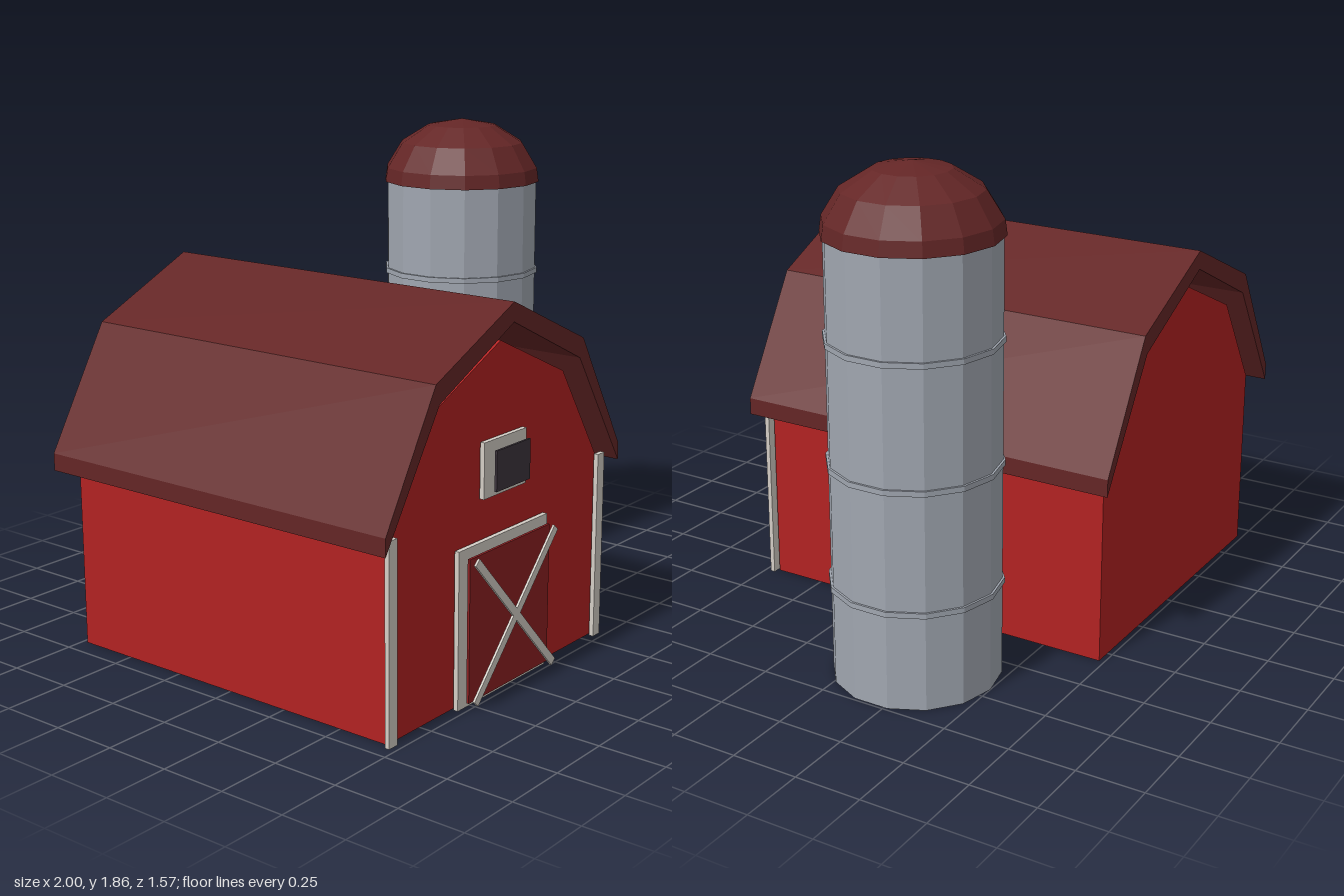
import * as THREE from 'three';

const mat = (name, color) => {
  const m = new THREE.MeshStandardMaterial({ color, flatShading: true });
  m.name = name;
  return m;
};

export function createModel() {
  const model = new THREE.Group();
  model.name = 'barnWithSilo';
  const red = mat('barnRed', 0xb22222);
  const doorRed = mat('doorRed', 0x8b2022);
  const roofRed = mat('roofMaroon', 0x642626);
  const white = mat('trimWhite', 0xd4cec6);
  const dark = mat('windowDark', 0x3d353d);
  const grey = mat('siloGrey', 0xa0a6b0);

  const add = (parent, name, geometry, material, x = 0, y = 0, z = 0) => {
    const mesh = new THREE.Mesh(geometry, material);
    mesh.name = name;
    mesh.position.set(x, y, z);
    parent.add(mesh);
    return mesh;
  };
  const box = (w, h, d) => new THREE.BoxGeometry(w, h, d);
  const extrude = (points, depth) => new THREE.ExtrudeGeometry(
    new THREE.Shape(points.map(([x, y]) => new THREE.Vector2(x, y))),
    { depth, bevelEnabled: false });
  // Right half of a profile, from the eave to the ridge, mirrored to the left
  const mirrored = half => [...half, ...half.slice(0, -1).reverse().map(([x, y]) => [-x, y])];

  // Barn, with its ridge on the group's own x = 0
  const barn = new THREE.Group();
  barn.name = 'barn';
  barn.position.x = -0.305;
  model.add(barn);

  add(barn, 'barnWalls', extrude(mirrored([[0.62, 0], [0.62, 0.71], [0.39, 1.07], [0, 1.25]]), 1.43),
    red, 0, 0, -0.73);

  const outer = mirrored([[0.695, 0.745], [0.435, 1.19], [0, 1.39]]);
  const inner = mirrored([[0.695, 0.68], [0.415, 1.12], [0, 1.32]]).reverse();
  add(barn, 'gambrelRoof', extrude([...outer, ...inner], 1.537), roofRed, 0, 0, -0.783);

  // Corner trim at the front
  for (const side of [-1, 1]) {
    add(barn, 'cornerTrim', box(0.043, 0.715, 0.018), white, side * 0.621, 0.3575, 0.718);
  }

  // Door: backing trim, panel and crossed braces
  add(barn, 'doorTrim', box(0.53, 0.575, 0.018), white, 0, 0.2875, 0.718);
  add(barn, 'doorPanel', box(0.48, 0.52, 0.01), doorRed, 0, 0.2875, 0.75);
  for (const side of [-1, 1]) {
    add(barn, 'doorBrace', box(0.697, 0.03, 0.009), white, 0, 0.2875, 0.781)
      .rotation.z = side * 0.822;
  }

  // Loft window
  add(barn, 'windowTrim', box(0.25, 0.2, 0.018), white, 0, 0.823, 0.718);
  add(barn, 'windowPane', box(0.2, 0.145, 0.009), dark, 0, 0.823, 0.757);

  // Silo with bands and a dome
  const silo = new THREE.Group();
  silo.name = 'silo';
  silo.position.set(0.695, 0, -0.197);
  model.add(silo);
  const sides = 14;
  add(silo, 'siloBody', new THREE.CylinderGeometry(0.303, 0.303, 1.61, sides), grey, 0, 0.805);
  for (const y of [0.362, 0.807, 1.252]) {
    add(silo, 'siloBand', new THREE.CylinderGeometry(0.311, 0.311, 0.02, sides), grey, 0, y);
  }
  const profile = [new THREE.Vector2(0, 0), new THREE.Vector2(0.313, 0)];
  for (let i = 3; i >= 0; i--) {
    const a = i * Math.PI / 7;
    profile.push(new THREE.Vector2(0.313 * Math.sin(a), 0.245 * Math.cos(a)));
  }
  add(silo, 'siloDome', new THREE.LatheGeometry(profile, sides), roofRed, 0, 1.61);

  return model;
}
